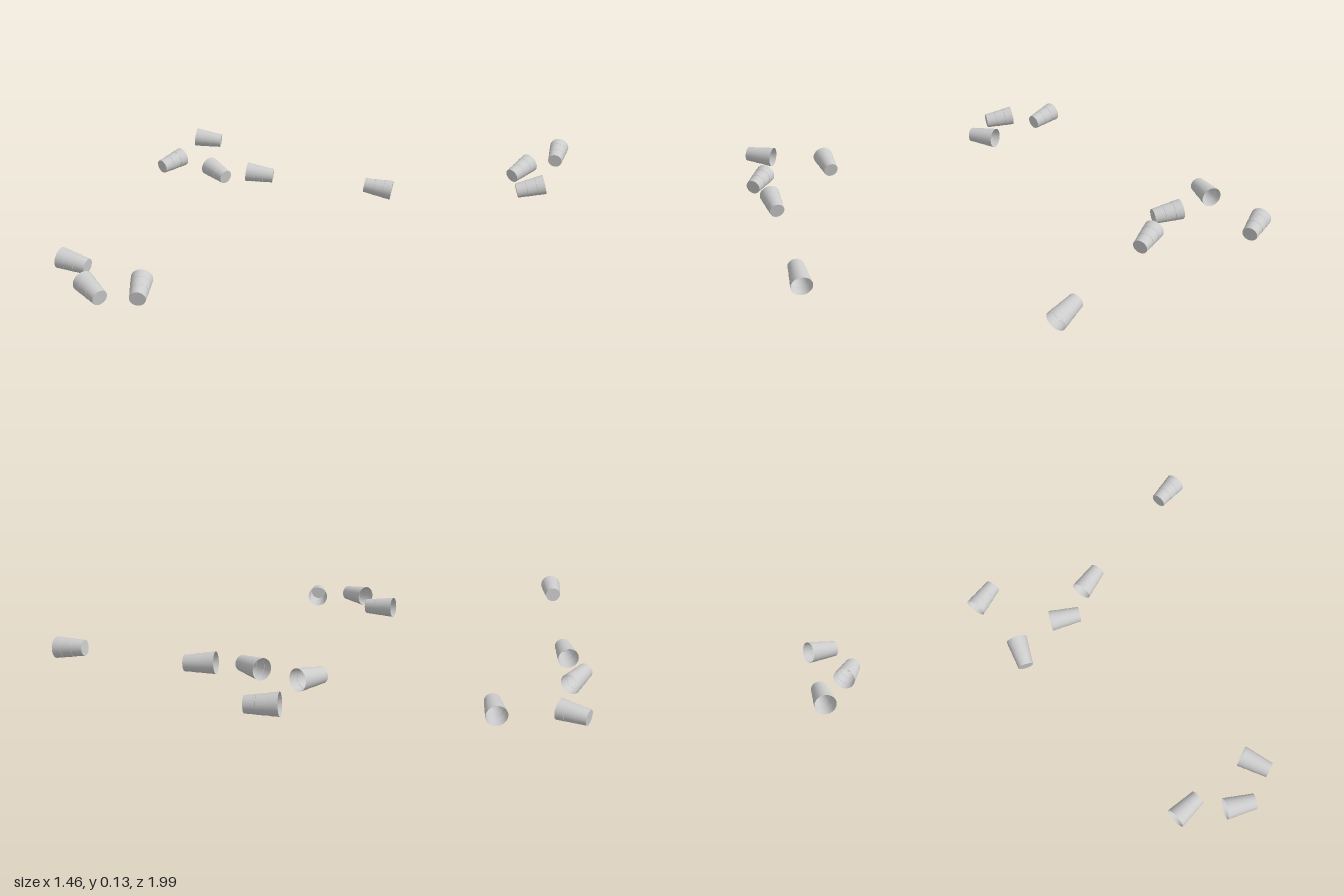
import * as THREE from 'three';

const LENGTH = 0.165, R_BASE = 0.042, R_RIM = 0.057;

// Cup profile: closed base, then a tapering wall with two faint stepped ridges.
// Doubled points keep the edges sharp.
function cupGeometry() {
  const p = (r, t) => new THREE.Vector2(r, (t - 0.5) * LENGTH);
  const wall = t => R_BASE + (R_RIM - R_BASE) * t;
  const pts = [p(0, 0), p(R_BASE, 0), p(R_BASE, 0)];
  for (const t of [0.36, 0.7]) {
    const inner = p(wall(t) - 0.0005, t), outer = p(wall(t) + 0.0008, t + 0.005);
    pts.push(inner, inner.clone(), outer, outer.clone());
  }
  pts.push(p(R_RIM, 1));
  return new THREE.LatheGeometry(pts, 32);
}

// Each cup: centre of open end (x, z), centre of base (x, z)
const LYING = [
  [-0.659, -0.923, -0.501, -0.96],
  [-0.622, -0.616, -0.69, -0.466],
  [-0.41, -0.561, -0.267, -0.484],
  [-0.164, -0.574, -0.003, -0.611],
  [-0.701, 0.722, -0.534, 0.726],
  [-0.476, 0.873, -0.337, 0.953],
  [-0.212, 0.738, -0.159, 0.892],
];
const TIPPED = [0.72, -0.696, 0.556, -0.675];

export function createModel() {
  const group = new THREE.Group();
  group.name = 'scatteredCups';
  const geometry = cupGeometry();
  const material = new THREE.MeshStandardMaterial({ color: 0xcccccc, side: THREE.DoubleSide });
  const up = new THREE.Vector3(0, 1, 0);

  function addCup(name, [rx, rz, bx, bz], rimY, baseY) {
    const rim = new THREE.Vector3(rx, rimY, rz);
    const base = new THREE.Vector3(bx, baseY, bz);
    const cup = new THREE.Mesh(geometry, material);
    cup.name = name;
    cup.position.copy(rim).add(base).multiplyScalar(0.5);
    cup.quaternion.setFromUnitVectors(up, rim.sub(base).normalize());
    group.add(cup);
  }

  // Cups resting along their sides
  LYING.forEach((ends, i) => addCup(`cup${i + 1}`, ends, 0.072, 0.057));
  // Lone cup with its open end dipped
  addCup('tippedCup', TIPPED, 0.058, 0.073);
  return group;
}
